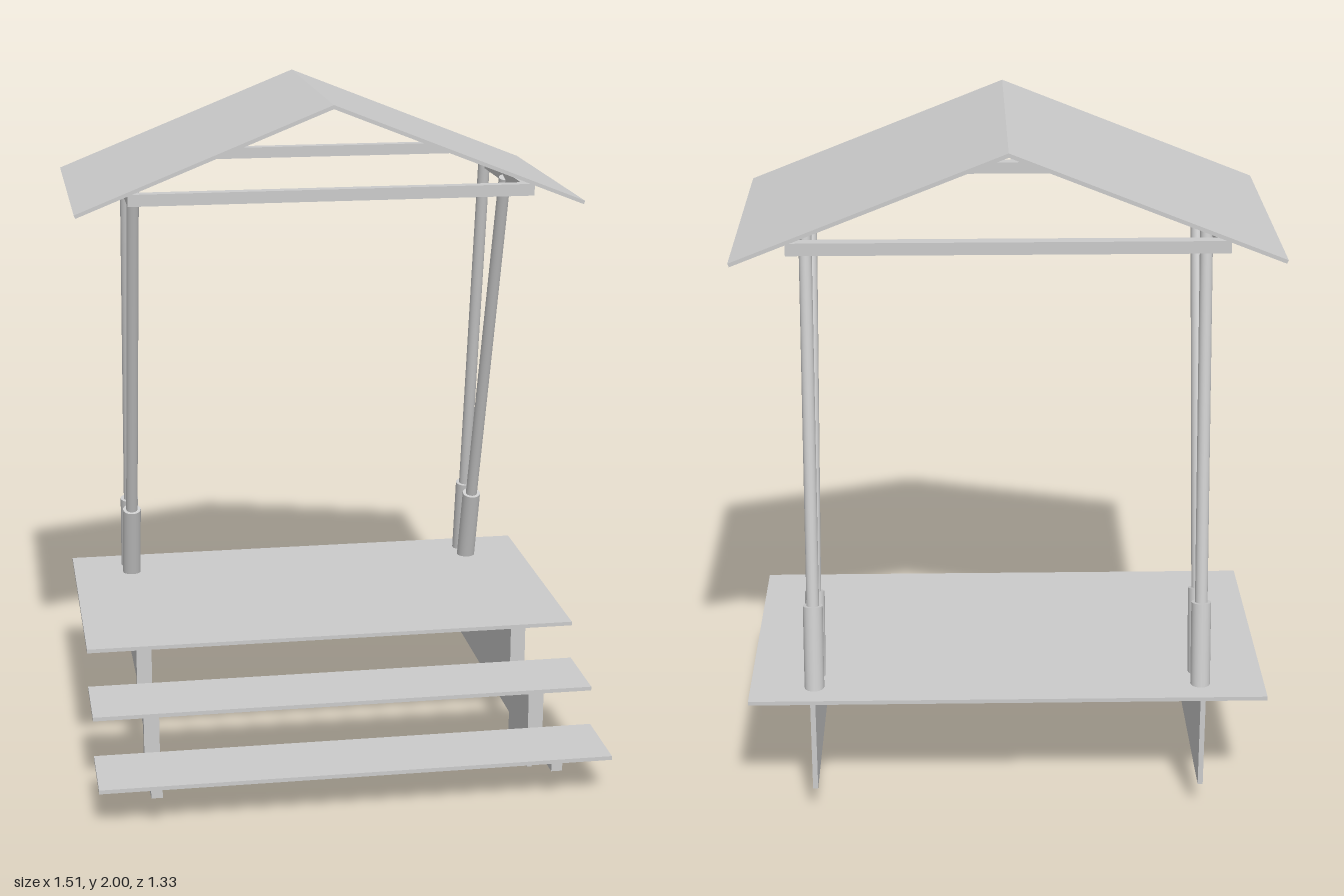
import * as THREE from 'three';

const material = new THREE.MeshStandardMaterial({ color: 0xcccccc });

export function createModel() {
  const model = new THREE.Group();

  const add = (name, geometry, parent = model) => {
    const mesh = new THREE.Mesh(geometry, material);
    mesh.name = name;
    parent.add(mesh);
    return mesh;
  };

  // Box given by its limits on each axis
  const box = (name, x0, x1, y0, y1, z0, z1, parent) =>
    add(name, new THREE.BoxGeometry(x1 - x0, y1 - y0, z1 - z0), parent)
      .position.set((x0 + x1) / 2, (y0 + y1) / 2, (z0 + z1) / 2);

  const polygon = (points) => new THREE.Shape(points.map(([x, y]) => new THREE.Vector2(x, y)));

  // Round bar between two points
  const bar = (name, a, b, radius, parent) => {
    const dir = b.clone().sub(a);
    const mesh = add(name, new THREE.CylinderGeometry(radius, radius, dir.length(), 20), parent);
    mesh.position.copy(a).add(b).multiplyScalar(0.5);
    mesh.quaternion.setFromUnitVectors(new THREE.Vector3(0, 1, 0), dir.normalize());
  };

  const BACK = -0.665, FRONT = 0.185, HALF = 0.755;

  // Deck and two treads
  box('deck', -HALF, HALF, 0.358, 0.37, BACK, FRONT);
  box('upperTread', -HALF, HALF, 0.238, 0.25, FRONT, 0.425);
  box('lowerTread', -HALF, HALF, 0.116, 0.128, 0.425, 0.665);

  // Thin gabled roof
  const roof = new THREE.ExtrudeGeometry(polygon([
    [0, 2], [-HALF, 1.7], [-0.751, 1.69], [0, 1.988], [0.751, 1.69], [HALF, 1.7],
  ]), { depth: FRONT - BACK, bevelEnabled: false });
  add('roof', roof).position.z = BACK;

  // Rectangular beam frame under the roof
  const frame = new THREE.Group();
  frame.name = 'roofFrame';
  model.add(frame);
  box('frontBeam', -0.6, 0.6, 1.72, 1.755, FRONT - 0.035, FRONT, frame);
  box('backBeam', -0.6, 0.6, 1.72, 1.755, BACK, BACK + 0.035, frame);

  for (const s of [1, -1]) {
    const side = new THREE.Group();
    side.name = s > 0 ? 'leftSide' : 'rightSide';
    model.add(side);
    const sideBox = (name, xIn, xOut, ...limits) =>
      box(name, Math.min(s * xIn, s * xOut), Math.max(s * xIn, s * xOut), ...limits, side);

    sideBox('sideBeam', 0.565, 0.6, 1.72, 1.755, BACK + 0.035, FRONT - 0.035);

    // Stepped side panel, drawn as (z, y) and turned to face sideways
    const panel = new THREE.ExtrudeGeometry(polygon([
      [BACK, 0.08], [FRONT, 0.08], [FRONT, 0], [0.425, 0],
      [0.425, 0.238], [FRONT, 0.238], [FRONT, 0.358], [BACK, 0.358],
    ]), { depth: 0.015, bevelEnabled: false });
    panel.rotateY(-Math.PI / 2);
    add('sidePanel', panel, side).position.x = s > 0 ? 0.575 : -0.56;

    // Cleats along the steps
    sideBox('lowerTreadCleat', 0.573, 0.606, 0.09, 0.116, 0.395, 0.66);
    sideBox('lowerRiserCleat', 0.573, 0.606, 0.116, 0.205, 0.395, 0.425);
    sideBox('upperTreadCleat', 0.573, 0.606, 0.205, 0.238, 0.155, 0.425);
    sideBox('upperRiserCleat', 0.573, 0.606, 0.238, 0.358, 0.155, FRONT);

    // Pair of leaning poles with thicker sleeves at the foot
    const poles = [
      ['front', -0.512, 0.333, -0.428, 0.61, -0.055],
      ['back', -0.584, 0.33, -0.535, 0.615, -0.337],
    ];
    for (const [name, z0, y0, z1, y1, z2] of poles) {
      const x = s * 0.567;
      const sleeveTop = new THREE.Vector3(x, y1, z1);
      bar(name + 'Sleeve', new THREE.Vector3(x, y0, z0), sleeveTop, 0.029, side);
      bar(name + 'Pole', sleeveTop, new THREE.Vector3(x, 1.735, z2), 0.0185, side);
    }
  }
  return model;
}
